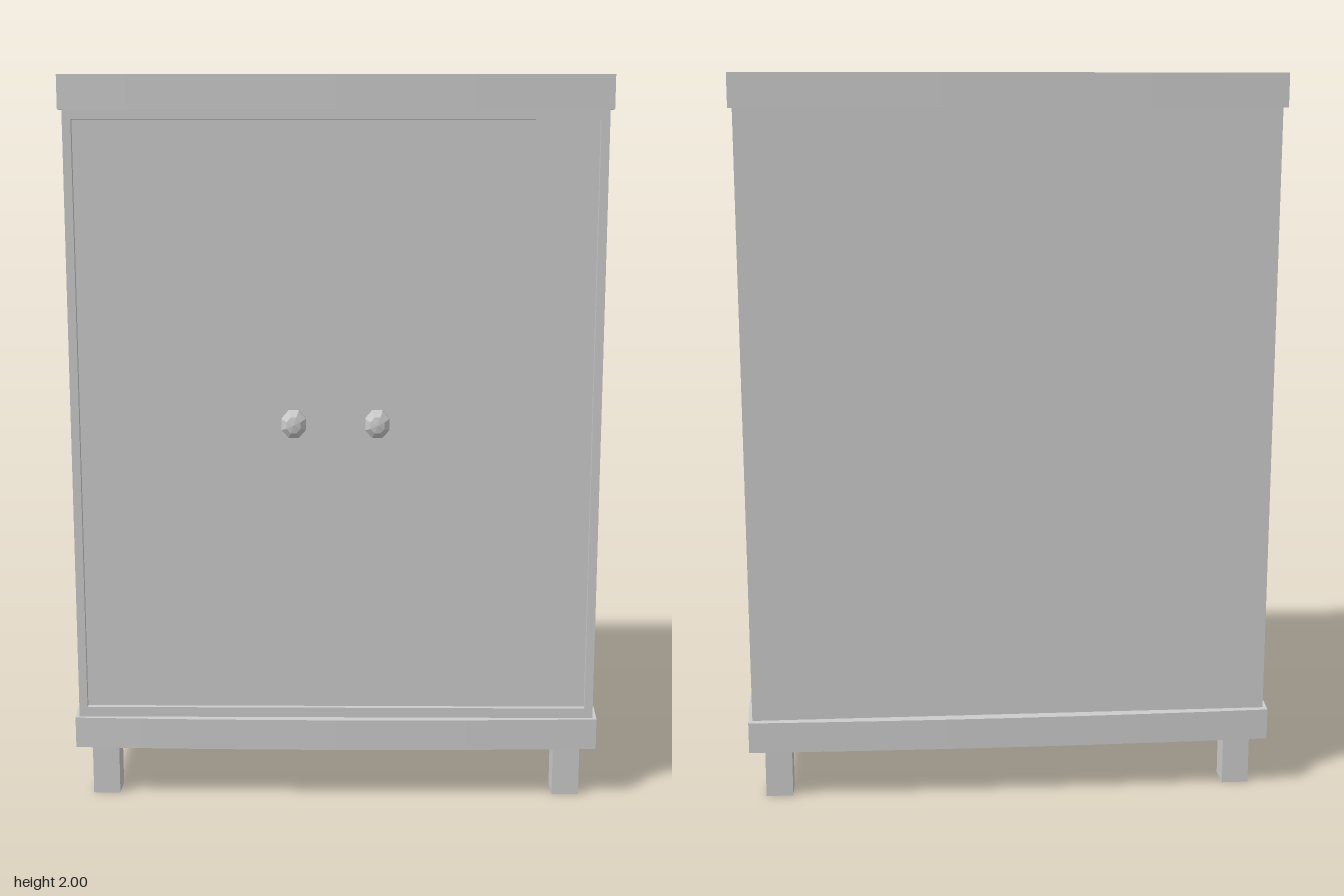
import * as THREE from 'three';

const grey = () => new THREE.MeshStandardMaterial({ color: 0xcccccc, flatShading: true });

function add(parent, name, geometry, x = 0, y = 0, z = 0) {
  const mesh = new THREE.Mesh(geometry, grey());
  mesh.name = name;
  mesh.position.set(x, y, z);
  parent.add(mesh);
  return mesh;
}

// Flat board whose four edges bow gently outwards
function bowedBoard(height) {
  const s = new THREE.Shape();
  const x = 0.73, f = -0.30, b = 0.32; // shape y becomes -z
  s.moveTo(-x, f);
  s.quadraticCurveTo(0, f - 0.03, x, f);
  s.quadraticCurveTo(x + 0.024, 0.01, x, b);
  s.quadraticCurveTo(0, b + 0.024, -x, b);
  s.quadraticCurveTo(-x - 0.024, 0.01, -x, f);
  const g = new THREE.ExtrudeGeometry(s, { depth: height, bevelEnabled: false, curveSegments: 8 });
  return g.rotateX(-Math.PI / 2);
}

function rect(target, x0, y0, x1, y1) {
  target.moveTo(x0, y0);
  target.lineTo(x1, y0);
  target.lineTo(x1, y1);
  target.lineTo(x0, y1);
  target.closePath();
  return target;
}

export function createModel() {
  const group = new THREE.Group();
  group.name = 'cabinet';

  // Base and top boards
  add(group, 'baseBoard', bowedBoard(0.087), 0, 0.15, 0);
  add(group, 'topBoard', bowedBoard(0.09), 0, 1.91, 0);

  // Body with a thin front frame around the recessed doors
  const recess = 0.015, front = 0.29, back = -0.302;
  const depth = front - recess - back;
  add(group, 'body', new THREE.BoxGeometry(1.44, 1.673, depth), 0, 1.0735, back + depth / 2);
  const frame = rect(new THREE.Shape(), -0.72, 0.237, 0.72, 1.91);
  frame.holes.push(rect(new THREE.Path(), -0.697, 0.265, 0.697, 1.885));
  add(group, 'frontFrame', new THREE.ExtrudeGeometry(frame, { depth: recess, bevelEnabled: false }),
    0, 0, front - recess);

  // Faceted door knobs
  const profile = [[0, 0], [0.023, 0], [0.036, 0.018], [0.036, 0.035], [0.021, 0.051], [0, 0.055]]
    .map(([r, h]) => new THREE.Vector2(r, h));
  for (const side of [1, -1]) {
    const knob = new THREE.LatheGeometry(profile, 8).rotateY(Math.PI / 8).rotateX(Math.PI / 2);
    knob.scale(0.98, 1.12, 1);
    add(group, side > 0 ? 'leftKnob' : 'rightKnob', knob, side * 0.113, 1.075, front - recess);
  }

  // Square legs
  for (const side of [1, -1]) {
    for (const [place, z] of [['front', 0.228], ['back', -0.24]]) {
      add(group, place + (side > 0 ? 'Left' : 'Right') + 'Leg',
        new THREE.BoxGeometry(0.075, 0.15, 0.073), side * 0.652, 0.075, z);
    }
  }
  return group;
}
